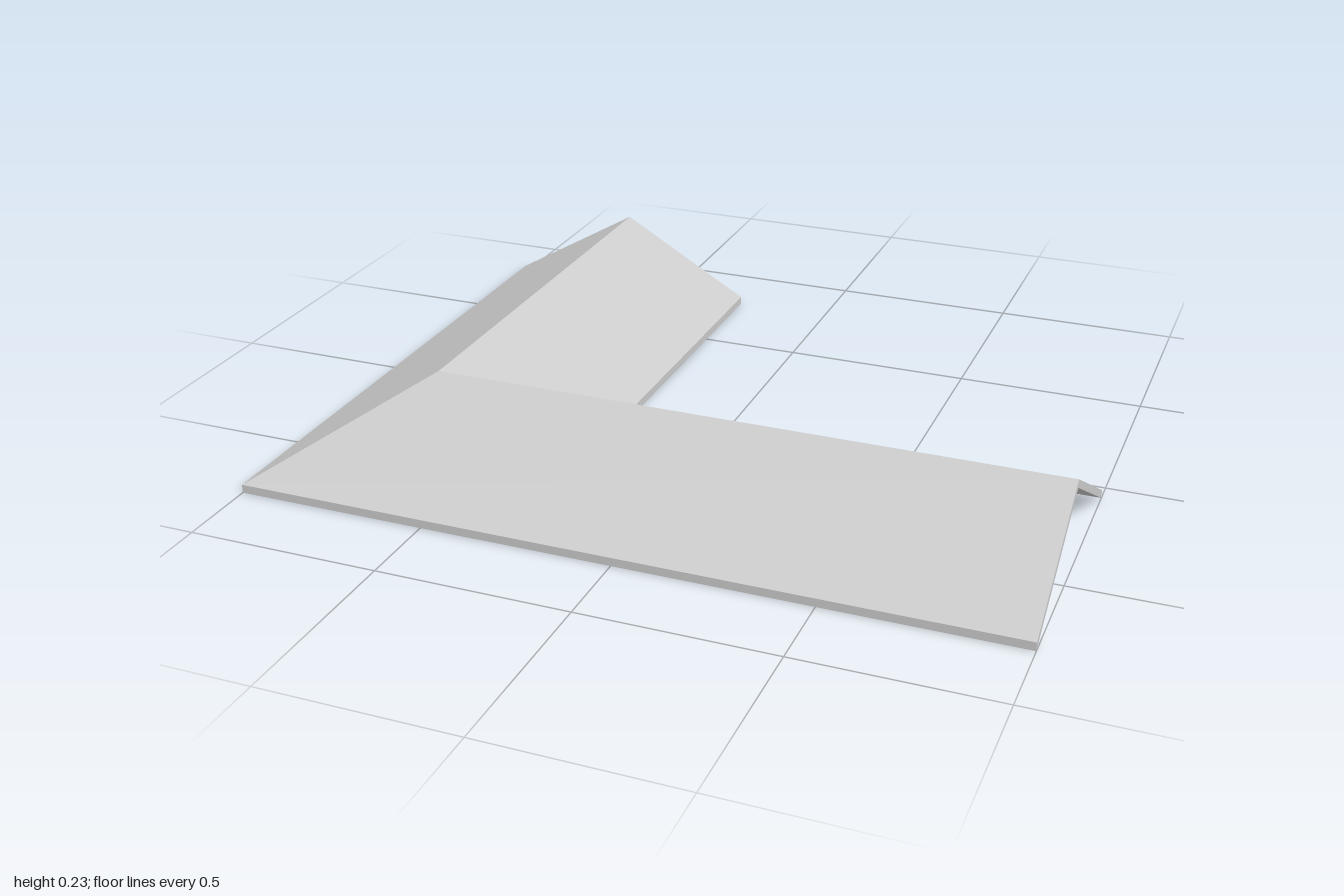
import * as THREE from 'three';

// Roof cross-section: [distance inward from the outer eave, height]
const SECTION = [[0, 0], [0, 0.022], [0.366, 0.235], [0.732, 0.022], [0.732, 0], [0.366, 0.213]];
const HALF_X = 1, HALF_Z = 0.787;

// Stations along the L-shaped roof
const backGable = ([d, y]) => [-HALF_X + d, y, -HALF_Z];
const mitre = ([d, y]) => [-HALF_X + d, y, HALF_Z - d];
const sideGable = ([d, y]) => [HALF_X, y, HALF_Z - d];

// Sweeps the section between two stations and closes the open gable end
function wing(name, start, end, gableAtStart, material) {
  const positions = [];
  const quad = (a, b, c, d) => positions.push(...a, ...b, ...c, ...a, ...c, ...d);
  SECTION.forEach((p, i) => {
    const q = SECTION[(i + 1) % SECTION.length];
    quad(start(p), end(p), end(q), start(q));
  });
  // Thin gable edge: one strip for each slope
  for (const strip of [[0, 1, 2, 5], [5, 2, 3, 4]]) {
    const corners = strip.map(i => (gableAtStart ? start : end)(SECTION[i]));
    if (!gableAtStart) corners.reverse();
    quad(...corners);
  }
  const geometry = new THREE.BufferGeometry();
  geometry.setAttribute('position', new THREE.Float32BufferAttribute(positions, 3));
  geometry.computeVertexNormals();
  const mesh = new THREE.Mesh(geometry, material);
  mesh.name = name;
  return mesh;
}

export function createModel() {
  const roofGrey = new THREE.MeshStandardMaterial({ color: 0xcccccc });
  roofGrey.name = 'roofGrey';
  const group = new THREE.Group();
  group.name = 'cornerRoof';
  group.add(
    wing('frontRoofWing', mitre, sideGable, false, roofGrey),
    wing('backRoofWing', backGable, mitre, true, roofGrey)
  );
  return group;
}
